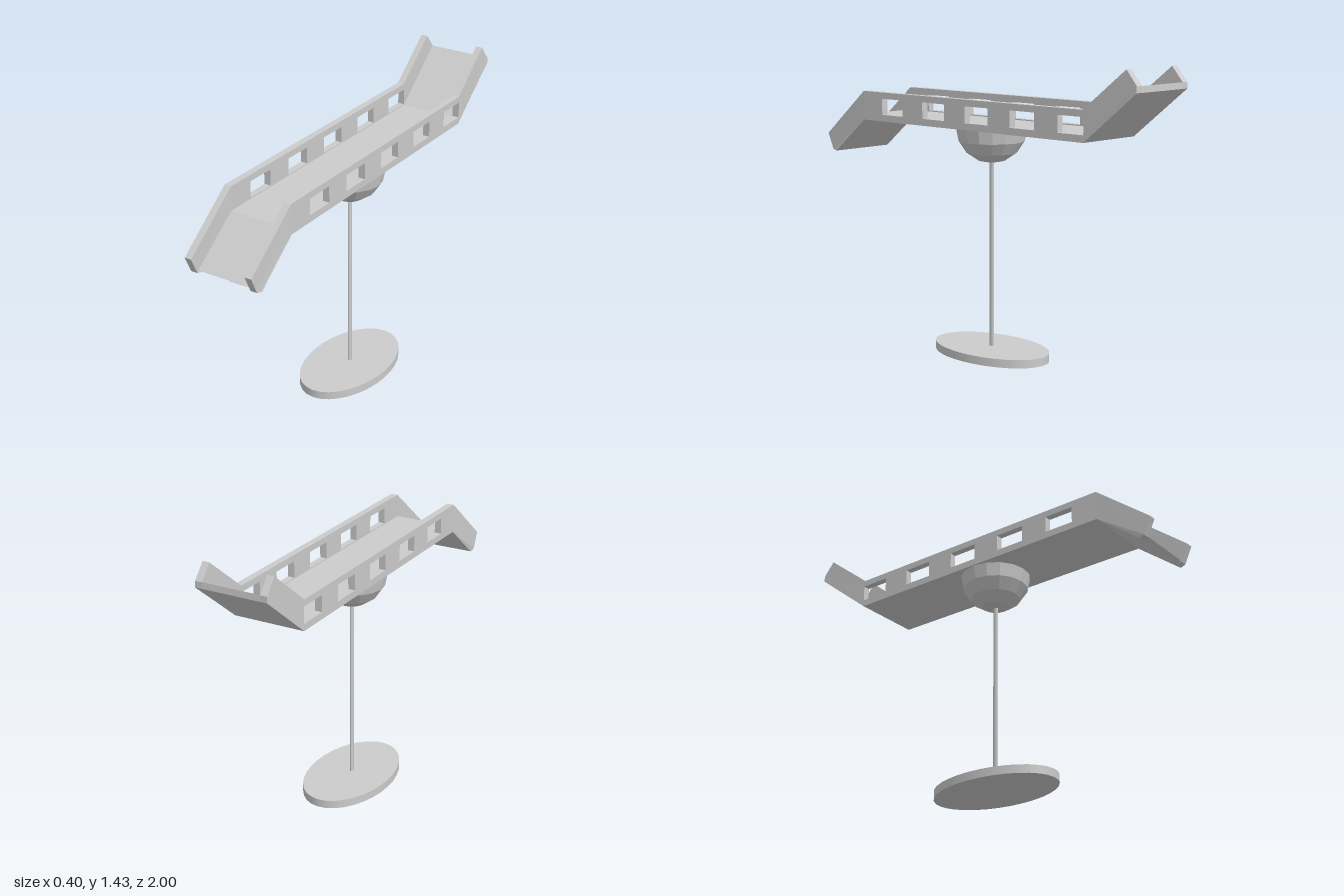
import * as THREE from 'three';

const material = new THREE.MeshStandardMaterial({ color: 0xcccccc });
const flatMaterial = new THREE.MeshStandardMaterial({ color: 0xcccccc, flatShading: true });

const toPoints = (list) => list.map(([z, y]) => new THREE.Vector2(z, y));

// Extrude a side profile of (z, y) points across x, centred on x = 0
function extrudeAcross(shape, width) {
  const geometry = new THREE.ExtrudeGeometry(shape, { depth: width, bevelEnabled: false });
  geometry.translate(0, 0, -width / 2);
  geometry.rotateY(-Math.PI / 2);
  return geometry;
}

function makeMesh(name, geometry, mat = material) {
  const mesh = new THREE.Mesh(geometry, mat);
  mesh.name = name;
  return mesh;
}

// Side wall: straight middle, one end bent down, the other bent up, five windows
function sideWallGeometry() {
  const shape = new THREE.Shape(toPoints([
    [0.715, 1.103], [0.935, 0.928], [0.963, 0.934], [1, 1.015], [0.715, 1.246],
    [-0.71, 1.246], [-0.942, 1.43], [-1, 1.362], [-1, 1.333], [-0.715, 1.103],
  ]));
  for (let i = 0; i < 5; i++) {
    const z = 0.505 - i * 0.2865;
    shape.holes.push(new THREE.Path(toPoints([
      [z - 0.074, 1.136], [z - 0.074, 1.215], [z + 0.074, 1.215], [z + 0.074, 1.136],
    ])));
  }
  const geometry = extrudeAcross(shape, 0.034);
  // The wall tips lean slightly to one side
  const p = geometry.attributes.position;
  for (let i = 0; i < p.count; i++) {
    if (Math.abs(p.getZ(i)) > 0.94) p.setX(i, p.getX(i) - 0.005);
  }
  geometry.computeVertexNormals();
  return geometry;
}

export function createModel() {
  const model = new THREE.Group();
  model.name = 'slideOnStand';

  // Oval foot
  const base = makeMesh('base', new THREE.CylinderGeometry(0.33, 0.33, 0.04, 32));
  base.scale.x = 0.61;
  base.position.y = 0.02;
  model.add(base);

  // Thin oval pole
  const pole = makeMesh('pole', new THREE.CylinderGeometry(0.013, 0.013, 0.93, 16));
  pole.scale.x = 0.61;
  pole.position.y = 0.495;
  model.add(pole);

  // Faceted half ball under the chute, with a closing disc
  const bowl = new THREE.Group();
  bowl.name = 'bowl';
  bowl.position.y = 1.104;
  bowl.add(makeMesh('bowlShell',
    new THREE.SphereGeometry(0.17, 16, 4, 0, Math.PI * 2, Math.PI / 2, Math.PI / 2), flatMaterial));
  const lid = makeMesh('bowlLid', new THREE.CircleGeometry(0.17, 16));
  lid.rotation.x = -Math.PI / 2;
  bowl.add(lid);
  model.add(bowl);

  // Chute floor follows the bends
  const floor = new THREE.Shape(toPoints([
    [0.715, 1.103], [0.935, 0.928], [0.957, 0.944], [0.72, 1.131],
    [-0.715, 1.131], [-0.998, 1.362], [-1, 1.333], [-0.715, 1.103],
  ]));
  model.add(makeMesh('chuteFloor', extrudeAcross(floor, 0.346)));

  // Matching walls on both sides
  for (const [name, side] of [['leftWall', 1], ['rightWall', -1]]) {
    const wall = makeMesh(name, sideWallGeometry());
    wall.position.x = side * 0.158;
    model.add(wall);
  }
  return model;
}
